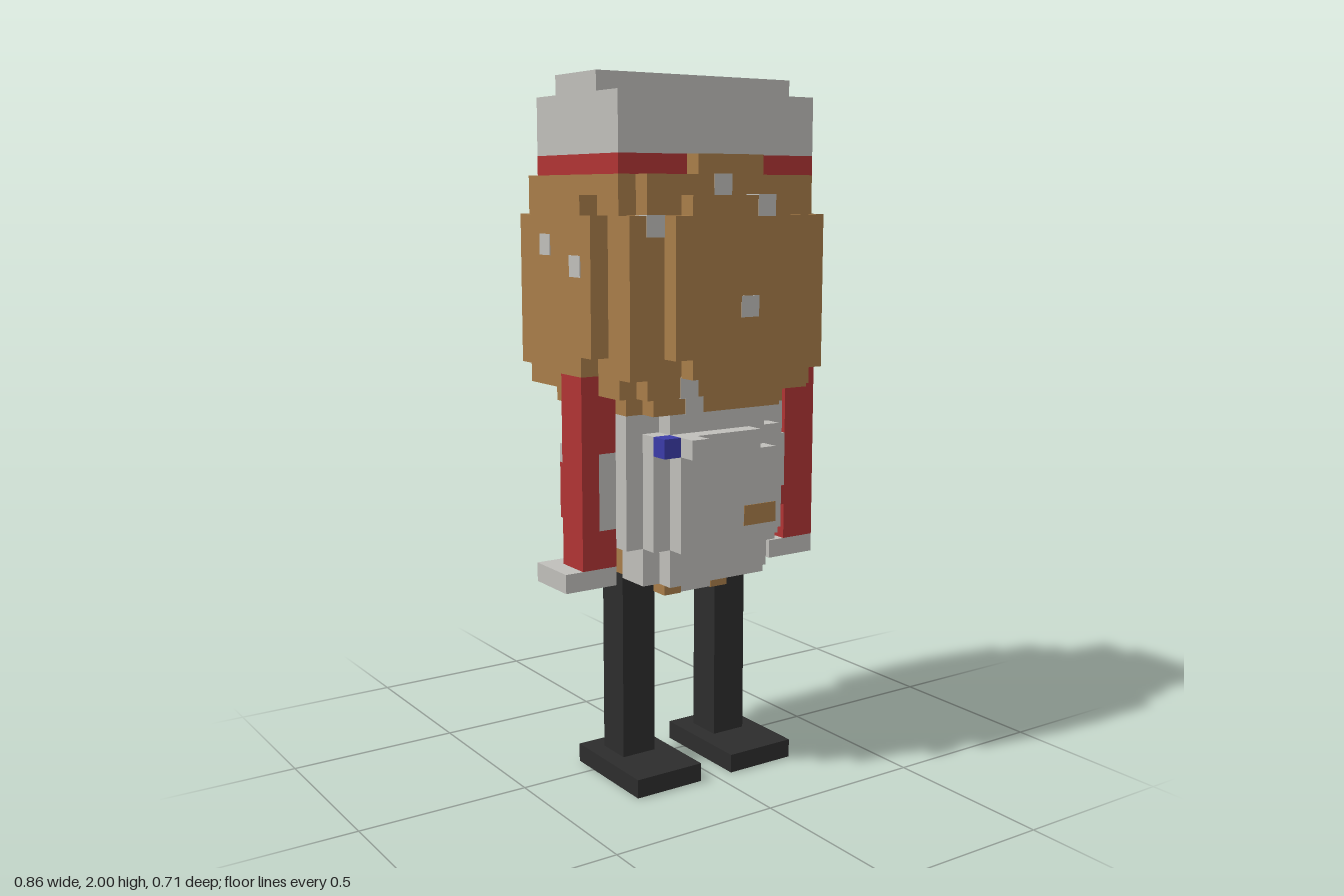
import * as THREE from 'three';

const U = 2 / 37; // one block
const mat = (name, hex) => {
  const m = new THREE.MeshStandardMaterial({ color: hex });
  m.name = name;
  return m;
};

export function createModel() {
  const grey = mat('pale grey', 0xbfbeba), brown = mat('brown', 0xa87d49);
  const red = mat('red', 0xb03434), dark = mat('charcoal', 0x2c2c2c), blue = mat('blue', 0x3b3ba8);
  const model = new THREE.Group();
  model.name = 'blockFigure';
  const section = (name) => {
    const g = new THREE.Group();
    g.name = name;
    model.add(g);
    return g;
  };
  // box given by its limits in blocks; grow lifts painted blocks off the surface
  const box = (parent, name, m, x0, x1, y0, y1, z0, z1, grow = 0) => {
    const geo = new THREE.BoxGeometry((x1 - x0) * U + grow, (y1 - y0) * U + grow, (z1 - z0) * U + grow);
    const mesh = new THREE.Mesh(geo, m);
    mesh.name = name;
    mesh.position.set((x0 + x1) / 2 * U, (y0 + y1) / 2 * U, (z0 + z1) / 2 * U);
    parent.add(mesh);
  };
  const spot = (parent, m, x, y, z) => box(parent, 'spot', m, x, x + 1, y, y + 1, z, z + 1, 0.004);

  // legs and shoes
  const legs = section('legs');
  for (const s of [-3, 3]) {
    box(legs, 'shoe', dark, s - 2, s + 2, 0, 1, -1.5, 4.5);
    box(legs, 'leg', dark, s - 1, s + 1, 1, 11.2, -0.5, 1.5);
  }

  // arms and hands, the left arm set further out
  const arms = section('arms');
  box(arms, 'leftArm', red, 6, 8, 12, 22, 0.5, 2.5);
  box(arms, 'rightArm', red, -7, -5, 12, 22, 0.5, 2.5);
  box(arms, 'leftHand', grey, 5, 8, 11, 12, -0.5, 2.5);
  box(arms, 'rightHand', grey, -8, -5, 11, 12, -0.5, 2.5);

  // body: pale front, banded back
  const body = section('body');
  const SPLIT = 1.5;
  const bands = [[10, 13, brown], [13, 17, red], [17, 18, grey], [18, 20, red]];
  const bodyLayer = (hx, y0, y1, z0, z1) => {
    box(body, 'bodyFront', grey, -hx, hx, y0, y1, SPLIT, z1);
    for (const [b0, b1, m] of bands) {
      const lo = Math.max(y0, b0), hi = Math.min(y1, b1);
      if (hi > lo) box(body, 'bodyBack', m, -hx, hx, lo, hi, z0, SPLIT);
    }
  };
  bodyLayer(2, 10, 11, -1.5, 2.5);
  bodyLayer(4, 11, 13, -2.5, 3.5);
  bodyLayer(3, 11, 13, -3.5, 4.5);
  bodyLayer(5, 13, 19, -2.5, 3.5);
  bodyLayer(4, 13, 19, -3.5, 4.5);
  bodyLayer(3, 13, 18, -4.5, 5.5);
  bodyLayer(2, 18, 19, -4.5, 5.5);
  bodyLayer(6, 14, 18, -1.5, 2.5);
  bodyLayer(5, 19, 20, -2.5, 3.5);
  bodyLayer(3, 19, 20, -3.5, 4.5);
  // body details
  box(body, 'pin', blue, -4, -3, 18, 19, 4.5, 5.5);
  box(body, 'pinTip', grey, -3, -2, 18, 19, 4.5, 6.5);
  spot(body, brown, 1, 14, 4.5);
  spot(body, brown, 2, 14, 4.5);
  spot(body, red, 5, 14, 1.5);
  spot(body, brown, 1, 10, 1.5);
  spot(body, brown, -2, 10, 1.5);
  spot(body, grey, -2, 11, -3.5);

  // head: rounded block with stepped plates on each face
  const head = section('head');
  box(head, 'chin', brown, -5, 5, 20, 21, -3.5, 3.5);
  box(head, 'chin', brown, -4, 4, 20, 21, -4.5, 4.5);
  box(head, 'skull', brown, -6, 6, 21, 32, -4.5, 4.5);
  box(head, 'skull', brown, -5, 5, 21, 32, -5.5, 5.5);
  box(head, 'skull', brown, -6, 6, 22, 30, -5.5, 5.5);
  box(head, 'facePlates', brown, -3, 3, 22, 31, -6.5, 6.5);
  box(head, 'facePlates', brown, -4, 4, 23, 30, -6.5, 6.5);
  box(head, 'sidePlates', brown, -7, 7, 22, 31, -2.5, 2.5);
  box(head, 'sidePlates', brown, -7, 7, 23, 30, -3.5, 3.5);
  box(head, 'brow', brown, -2, 2, 32, 33, 4.5, 5.5);
  box(head, 'nape', brown, -2, 2, 32, 33, -5.5, -3.5);
  box(head, 'nape', brown, -5, 4, 32, 33, -4.5, -3.5);
  // pale spots, by block corner
  const spots = [
    [-1, 31, 4.5], [-5, 29, 4.5], [1, 30, 5.5], [6, 28, 2.5 - 1 + 0], [0, 25, 5.5],
    [-3, 21, 4.5], [-2, 20, 3.5], [5, 31, 0.5], [5, 22, -3.5 + 1], [5, 21, -1.5],
    [1, 32, -5.5], [2, 28, -6.5], [0, 25, -6.5], [-4, 28, -6.5], [-4, 29, -6.5],
    [-2, 31, -5.5], [-5, 21, -5.5], [-7, 28, -1.5], [-7, 27, 1.5],
  ];
  for (const [x, y, z] of spots) spot(head, grey, x, y, z);

  // hat
  const hat = section('hat');
  box(hat, 'hatBand', red, -6, 6, 32, 33, -3.5, 4.5);
  box(hat, 'hatCrown', grey, -6, 6, 33, 36, -3.5, 4.5);
  box(hat, 'hatTop', grey, -6, 6, 36, 37, -1.5, 2.5);
  return model;
}
